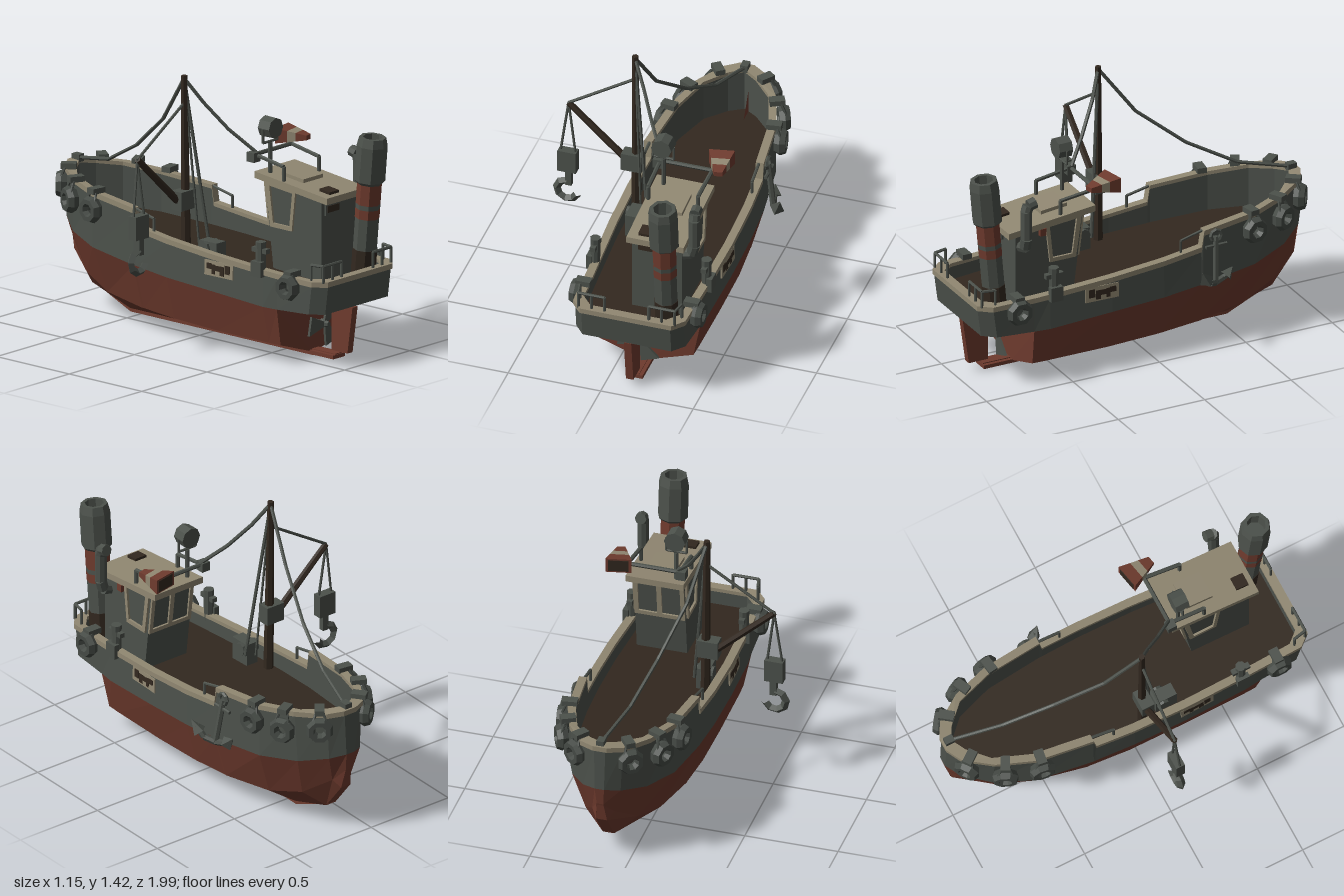
import * as THREE from 'three';

const paint = (name, color) =>
  new THREE.MeshStandardMaterial({ name, color, flatShading: true });

export function createModel() {
  const grey = paint('weathered grey', 0x4c514b);
  const dark = paint('dark rubber', 0x454a45);
  const red = paint('oxide red', 0x6f3b2e);
  const brown = paint('dark timber', 0x32281f);
  const beige = paint('faded cream', 0x918872);
  const CX = 0.13; // hull centreline
  const root = new THREE.Group();
  root.name = 'tugboat';
  const hull = new THREE.Group();
  hull.name = 'hull';
  hull.position.x = CX;
  root.add(hull);

  // ---- helpers ----
  const add = (parent, name, geo, mat, x = 0, y = 0, z = 0) => {
    const m = new THREE.Mesh(geo, mat);
    m.name = name;
    m.position.set(x, y, z);
    parent.add(m);
    return m;
  };
  const box = (parent, name, mat, w, h, d, x, y, z) =>
    add(parent, name, new THREE.BoxGeometry(w, h, d), mat, x, y, z);
  const rod = (parent, name, mat, a, b, r, r2 = r, sides = 6) => {
    const A = new THREE.Vector3(...a), B = new THREE.Vector3(...b);
    const m = add(parent, name, new THREE.CylinderGeometry(r2, r, A.distanceTo(B), sides), mat);
    m.position.copy(A).lerp(B, 0.5);
    m.quaternion.setFromUnitVectors(new THREE.Vector3(0, 1, 0), B.sub(A).normalize());
    return m;
  };
  const pipe = (parent, name, mat, pts, r, sides) => {
    for (let i = 1; i < pts.length; i++) rod(parent, name, mat, pts[i - 1], pts[i], r, r, sides);
  };
  const polygon = pts => new THREE.Shape(pts.map(p => new THREE.Vector2(...p)));
  // Extrude a (z, y) profile across x
  const sideExtrude = (parent, name, mat, pts, x, width, hole) => {
    const s = polygon(pts);
    if (hole) s.holes.push(polygon(hole));
    const g = new THREE.ExtrudeGeometry(s, { depth: width, bevelEnabled: false });
    g.rotateY(-Math.PI / 2);
    return add(parent, name, g, mat, x + width / 2);
  };
  // Skin a sequence of closed rings
  const loft = (name, mat, rings) => {
    const pos = [];
    const tri = (a, b, c) => pos.push(...a, ...b, ...c);
    for (let k = 1; k < rings.length; k++) {
      const A = rings[k - 1], B = rings[k];
      for (let i = 0; i < A.length; i++) {
        const j = (i + 1) % A.length;
        tri(A[i], A[j], B[j]);
        tri(A[i], B[j], B[i]);
      }
    }
    const g = new THREE.BufferGeometry();
    g.setAttribute('position', new THREE.Float32BufferAttribute(pos, 3));
    g.computeVertexNormals();
    return add(hull, name, g, mat);
  };
  const ring = half => [...half, ...half.map(([x, y, z]) => [-x, y, z]).reverse()];

  // ---- hull levels, stern to bow: [half width, y, z]; the doubled station is the transom edge ----
  const gunwale = [[0, .46, .985], [.24, .46, .985], [.295, .46, .92], [.305, .465, .69], [.305, .465, .69],
    [.31, .47, .6], [.325, .495, .25], [.325, .52, -.05], [.315, .545, -.27], [.315, .635, -.285],
    [.28, .66, -.6], [.21, .685, -.8], [.11, .70, -.94], [.03, .71, -.985], [0, .71, -.985]];
  const water = [[0, .31, .965], [.24, .31, .965], [.295, .31, .9], [.305, .3, .69], [.305, .3, .69],
    [.315, .3, .6], [.33, .325, .25], [.33, .34, -.05], [.322, .36, -.27], [.322, .36, -.285],
    [.285, .39, -.6], [.2, .42, -.81], [.1, .46, -.945], [.025, .48, -.993], [0, .48, -.993]];
  const chine = [[0, .3, .69], [.24, .3, .69], [.305, .3, .69], [.305, .3, .69], [.265, .1, .68],
    [.268, .1, .6], [.27, .1, .25], [.27, .11, -.05], [.255, .12, -.27], [.255, .12, -.285],
    [.2, .14, -.57], [.14, .2, -.77], [.06, .31, -.92], [.018, .38, -.978], [0, .38, -.978]];
  const keelZ = [.68, .68, .68, .68, .68, .6, .25, -.05, -.27, -.285, -.57, -.83, -.955, -.975, -.975];
  const keelY = [.02, .02, .02, .02, .02, .02, .02, .02, .02, .02, .02, .11, .27, .37, .37];
  const keel = keelZ.map((z, i) => [Math.min(.03, chine[i][0]), keelY[i], z]);
  const grow = (pts, dx, dy, sz) =>
    pts.map(([x, y, z]) => [x ? Math.max(0, x + dx) : 0, y + dy, Math.abs(z) > .9 ? z * sz : z]);
  const inner = grow(gunwale, -.035, .028, .957);
  const deck = inner.map(([x, , z]) => [x, .44 - .05 * z, z]);
  const flat = pts => pts.map(([, y, z]) => [0, y, z]);

  loft('lowerHull', red, [flat(keel), keel, chine, water].map(ring));
  loft('upperHull', grey, [water, gunwale].map(ring));
  loft('gunwaleCap', beige,
    [gunwale, grow(gunwale, .008, 0, 1.006), grow(gunwale, .008, .028, 1.006), inner, grow(inner, 0, -.02, 1)].map(ring));
  loft('bulwarkInside', grey, [grow(inner, 0, -.02, 1), deck].map(ring));
  loft('deck', brown, [deck, flat(deck)].map(ring));

  // ---- keel, rudder, propeller ----
  sideExtrude(hull, 'keel', red, [[.84, .015], [.84, .035], [-.57, .03], [-.84, .12], [-.96, .28],
    [-.99, .46], [-1, .70], [-.98, .70], [-.94, .3], [-.8, .12], [-.57, 0], [.68, 0]].reverse(), 0, .05);
  box(hull, 'skeg', red, .09, .02, .2, 0, .02, .745);
  sideExtrude(hull, 'rudder', red, [[.81, .05], [.92, .05], [.955, .3], [.81, .3]], 0, .04);
  rod(hull, 'propellerShaft', grey, [0, .175, .66], [0, .175, .77], .014);
  rod(hull, 'propellerHub', grey, [0, .175, .725], [0, .175, .775], .024, .014);
  for (let i = 0; i < 3; i++) {
    const g = new THREE.ExtrudeGeometry(polygon([[.01, -.012], [.105, -.055], [.125, .045], [.01, .015]]),
      { depth: .014, bevelEnabled: false });
    add(hull, 'propellerBlade', g, grey, 0, .175, .74).rotation.z = Math.PI / 3 * (1 + 2 * i);
  }

  // ---- tyre fenders: x, y, z, outward direction, rope top ----
  const tyres = [[.318, .6, -.58, 1, -.15, .69], [.27, .61, -.77, 1, -.5, .71],
    [.15, .64, -.93, .6, -.8, .73], [.328, .44, .785, 1, 0, .5]];
  for (const s of [1, -1]) {
    for (const [x, y, z, nx, nz, top] of tyres) {
      const t = new THREE.Group();
      t.name = 'tyreFender';
      t.position.set(s * x, y, z);
      t.rotation.y = Math.atan2(s * nx, nz);
      hull.add(t);
      const tyre = add(t, 'tyre', new THREE.TorusGeometry(.048, .025, 6, 8), dark);
      tyre.rotation.z = Math.PI / 8;
      tyre.scale.z = 1.35;
      for (const k of [1, -1])
        rod(t, 'tyreRope', dark, [k * .045, .02, .015], [k * .015, top - y + .01, -.02], .008);
      box(t, 'ropeCleat', grey, .05, .03, .08, 0, top - y + .008, -.035);
    }
    // bollards
    rod(hull, 'bollardPost', grey, [s * .3, .46, .575], [s * .3, .64, .575], .025, .028, 8);
    box(hull, 'bollardBar', grey, .03, .025, .1, s * .3, .595, .575);
    box(hull, 'bollardBracket', grey, .03, .08, .07, s * .325, .5, .575);
    // handrail at the step of the bulwark
    pipe(hull, 'stepRail', grey, [[s * .3, .55, -.16], [s * .3, .625, -.16], [s * .295, .655, -.29]], .008);
    // rail on the stern corner
    pipe(hull, 'sternRail', grey, [[s * .275, .48, .9], [s * .275, .57, .9], [s * .26, .57, .97],
      [s * .12, .57, .97], [s * .12, .48, .97]], .008);
    for (const x of [.19, .26]) rod(hull, 'sternRailPost', grey, [s * x, .48, .97], [s * x, .57, .97], .008);
    // worn side plate
    const plate = new THREE.Group();
    plate.name = 'sidePlate';
    plate.position.set(s * .325, .447, .31);
    plate.rotation.set(0, s * -.03, s * .04);
    hull.add(plate);
    box(plate, 'plateBoard', beige, .009, .08, .19, 0, 0, 0);
    for (const [z, y, d, h] of [[.058, .006, .035, .045], [.022, -.006, .028, .05], [-.008, .004, .035, .028],
      [-.035, -.004, .022, .05], [-.062, .01, .035, .03]])
      box(plate, 'rustPatch', brown, .013, h, d, 0, y, z);
  }

  // ---- winch ----
  box(root, 'winchBase', grey, .07, .13, .12, -.09, .49, .17);
  rod(root, 'winchDrum', grey, [-.14, .52, .15], [-.04, .52, .15], .035, .035, 8);

  // ---- cabin ----
  const cabin = new THREE.Group();
  cabin.name = 'cabin';
  root.add(cabin);
  sideExtrude(cabin, 'cabinWalls', grey, [[.76, .4], [.43, .4], [.37, .885], [.76, .84]], .225, .27);
  sideExtrude(cabin, 'roof', beige, [[.81, .825], [.31, .88], [.31, .915], [.81, .86]], .23, .31);
  sideExtrude(cabin, 'roofHatch', beige, [[.58, .87], [.43, .88], [.43, .92], [.58, .905]], .225, .15);
  sideExtrude(cabin, 'roofVent', brown, [[.78, .85], [.71, .85], [.71, .885], [.78, .877]], .165, .07);
  for (const x of [.09, .36])
    sideExtrude(cabin, 'sideWindowFrame', beige, [[.59, .86], [.38, .88], [.415, .64], [.565, .64]], x, .024,
      [[.567, .842], [.41, .856], [.436, .662], [.548, .662]]);
  const front = new THREE.Group();
  front.name = 'frontWindows';
  front.position.set(.225, .755, .388);
  front.rotation.set(-.123, Math.PI, 0);
  cabin.add(front);
  const frame = polygon([[-.135, -.115], [.135, -.115], [.135, .115], [-.135, .115]]);
  for (const c of [-.063, .063])
    frame.holes.push(polygon([[c - .05, -.092], [c - .05, .09], [c + .05, .09], [c + .05, -.092]]));
  add(front, 'frontWindowFrame', new THREE.ExtrudeGeometry(frame, { depth: .012, bevelEnabled: false }), beige);
  box(cabin, 'doorWindowFrame', grey, .115, .075, .016, .17, .79, .762);
  box(cabin, 'doorWindow', brown, .09, .035, .018, .17, .785, .764);
  box(cabin, 'sideLamp', red, .03, .04, .035, .37, .825, .61);

  // roof hoop
  pipe(cabin, 'roofHoop', grey, [[.36, .87, .5], [.36, .97, .5], [.37, 1, .3], [.09, 1, .3], [.09, .97, .5], [.09, .87, .5]], .011);
  box(cabin, 'hoopLamp', grey, .05, .05, .05, .08, .99, .3);

  // searchlight
  rod(cabin, 'searchlightPost', grey, [.13, .89, .37], [.13, 1.07, .37], .012);
  pipe(cabin, 'searchlightFork', grey, [[.075, 1.15, .37], [.075, 1.075, .37], [.185, 1.075, .37], [.185, 1.15, .37]], .007);
  rod(cabin, 'searchlight', grey, [.13, 1.15, .335], [.13, 1.15, .41], .057, .055, 8);

  // horn: square trumpet facing forward, banded
  const horn = new THREE.Group();
  horn.name = 'horn';
  horn.position.set(.425, 1.035, .37);
  horn.rotation.y = .2;
  horn.scale.y = .6;
  cabin.add(horn);
  const hornR = t => .03 + .065 * t;
  const hornPart = (name, mat, a, b, ra, rb, open) => {
    const g = new THREE.CylinderGeometry(rb, ra, (b - a) * .16, 4, 1, open);
    g.rotateY(Math.PI / 4).rotateX(-Math.PI / 2);
    add(horn, name, g, mat, 0, 0, -(a + b) * .08);
  };
  [[0, .35, red], [.35, .62, beige], [.62, 1, red]].forEach(([a, b, mat]) =>
    hornPart('hornBand', mat, a, b, hornR(a), hornR(b), false));
  hornPart('hornMouth', brown, .98, 1.02, .075, .075, false);

  // ---- funnel, tilted aft ----
  const funnel = new THREE.Group();
  funnel.name = 'funnel';
  funnel.position.set(.308, .42, .85);
  funnel.rotation.x = .09;
  root.add(funnel);
  [[0, .14, .064, brown], [.14, .31, .062, grey], [.31, .36, .064, red], [.36, .385, .064, grey], [.385, .5, .064, red]]
    .forEach(([a, b, r, mat]) => rod(funnel, 'funnelSection', mat, [0, a, 0], [0, b, 0], r, r, 8));
  const crown = [[.06, .49], [.08, .51], [.08, .7], [.07, .745], [.05, .745], [.05, .66], [0, .66]];
  add(funnel, 'funnelCrown', new THREE.LatheGeometry(crown.map(p => new THREE.Vector2(...p)), 8), grey);

  // vent pipe beside the cabin
  pipe(root, 'ventPipe', grey, [[.35, .76, .725], [.4, .775, .725], [.415, .83, .725], [.415, .985, .725],
    [.415, 1.015, .715], [.415, 1.025, .675]], .031, 8);

  // ---- mast, boom and rigging ----
  const top = [-.14, 1.4, .02], tip = [-.5, 1.04, .02];
  rod(root, 'mast', brown, [-.13, .42, .025], [-.14, 1.415, .02], .027, .017, 6);
  box(root, 'mastBlock', grey, .11, .1, .07, -.15, .76, .025);
  rod(root, 'boom', brown, [-.15, .72, .02], tip, .02, .017, 6);
  rod(root, 'boomStay', grey, tip, [-.14, 1.27, .02], .008);
  pipe(root, 'bowStay', grey, [top, [-.09, 1.14, -.17], [-.01, .94, -.42], [.06, .8, -.68], [.13, .745, -.95]], .01);
  pipe(root, 'cabinStay', grey, [top, [-.07, 1.27, .09], [.01, 1.13, .19], [.1, 1.01, .3]], .01);
  rod(root, 'shroud', grey, top, [-.045, .5, .11], .009);
  rod(root, 'shroud', grey, top, [-.09, .5, .08], .007);
  box(root, 'bowCleat', grey, .04, .04, .05, .13, .745, -.955);

  // hook tackle
  for (const x of [-.54, -.46]) rod(root, 'hookRope', grey, tip, [x, .74, .03], .007);
  box(root, 'hookBlock', grey, .1, .125, .05, -.5, .685, .03);
  box(root, 'hookStem', grey, .035, .1, .03, -.495, .585, .03);
  add(root, 'hook', new THREE.TorusGeometry(.057, .022, 4, 6, Math.PI * 1.4), grey, -.503, .5, .03).rotation.z = Math.PI / 2;

  // ---- anchor ----
  const anchor = new THREE.Group();
  anchor.name = 'anchor';
  root.add(anchor);
  rod(anchor, 'anchorShank', grey, [.455, .62, -.35], [.49, .375, -.33], .016);
  rod(anchor, 'anchorStock', grey, [.46, .57, -.29], [.46, .57, -.41], .01);
  pipe(anchor, 'anchorArm', grey, [[.545, .45, -.24], [.525, .395, -.28], [.49, .375, -.33], [.475, .385, -.38], [.47, .4, -.42]], .017);
  rod(anchor, 'anchorFluke', grey, [.535, .42, -.255], [.56, .48, -.22], .04, .002, 4);
  rod(anchor, 'anchorFluke', grey, [.47, .39, -.4], [.465, .43, -.44], .04, .002, 4);
  add(anchor, 'anchorRing', new THREE.TorusGeometry(.03, .011, 5, 8), grey, .455, .625, -.35).rotation.y = Math.PI / 2;

  return root;
}
